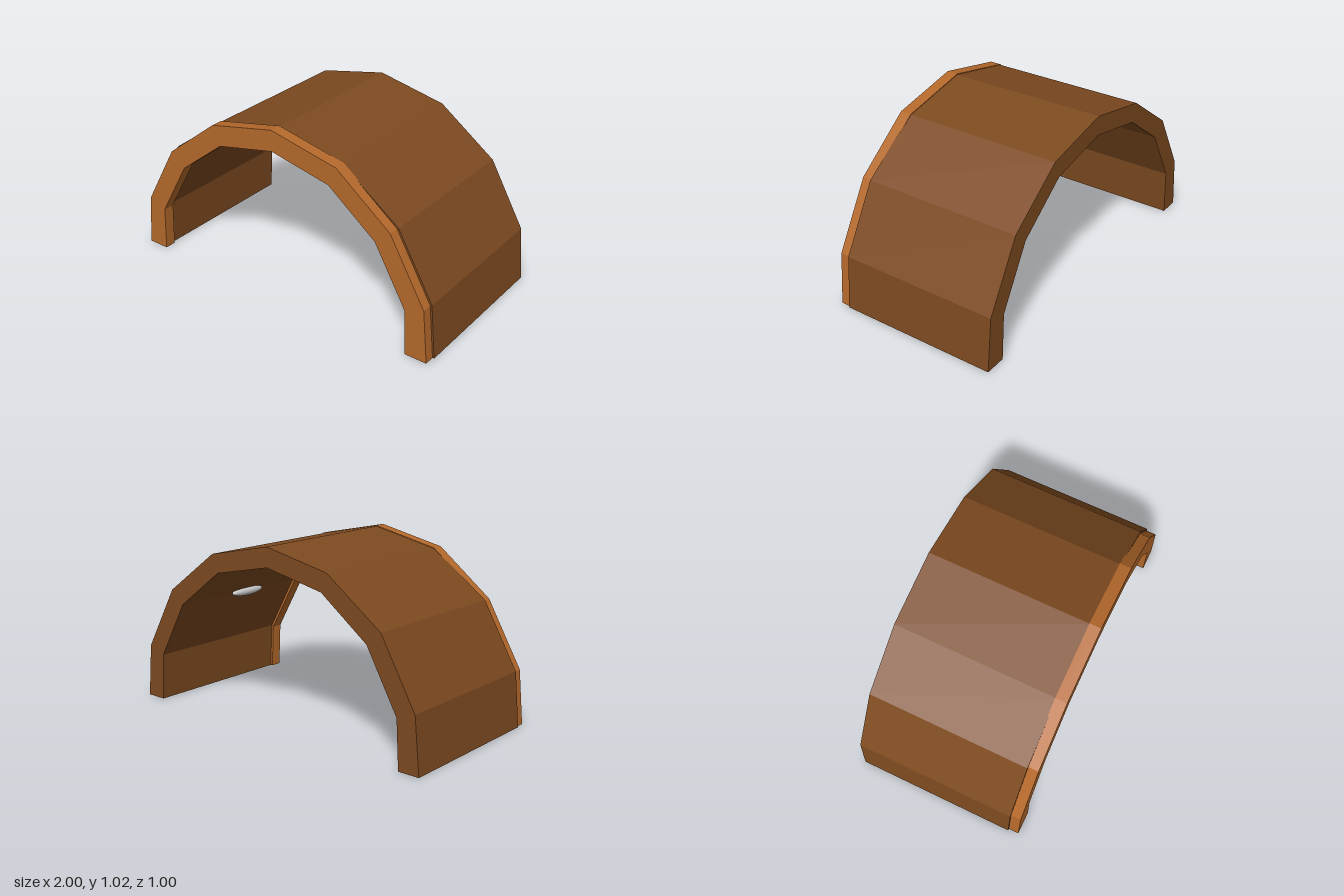
import * as THREE from 'three';

// Right half of each profile, from the foot up to the crown
const BODY_OUTER = [[1, 0], [0.97, 0.315], [0.757, 0.685], [0.413, 0.934], [0, 1.02]];
const BODY_INNER = [[0.875, 0], [0.86, 0.275], [0.67, 0.61], [0.375, 0.83], [0, 0.908]];
const RIM_OUTER = [[0.99, 0], [0.96, 0.31], [0.747, 0.68], [0.415, 0.937], [0, 1.025]];
const RIM_INNER = [[0.86, 0], [0.847, 0.268], [0.657, 0.6], [0.367, 0.825], [0, 0.903]];

// Complete a half profile from the right foot over the crown to the left foot
function fullArc(half) {
  const mirrored = half.slice(0, -1).reverse().map(([x, y]) => [-x, y]);
  return [...half, ...mirrored].map(([x, y]) => new THREE.Vector2(x, y));
}

// Faceted arch band between two profiles, extruded from zBack to zFront
function arch(name, outer, inner, zBack, zFront, color) {
  const shape = new THREE.Shape([...fullArc(outer), ...fullArc(inner).reverse()]);
  const geometry = new THREE.ExtrudeGeometry(shape, { depth: zFront - zBack, bevelEnabled: false });
  geometry.translate(0, 0, zBack);
  const mesh = new THREE.Mesh(geometry, new THREE.MeshStandardMaterial({ color, flatShading: true }));
  mesh.name = name;
  return mesh;
}

export function createModel() {
  const model = new THREE.Group();
  model.name = 'archedTunnel';

  // Long dark vault and the lighter trim at its front opening
  model.add(arch('vault', BODY_OUTER, BODY_INNER, -0.5, 0.44, 0x7d4a20));
  model.add(arch('frontRim', RIM_OUTER, RIM_INNER, 0.432, 0.5, 0xb5692b));

  // Slim lamps on the inner folds, one per side
  const lampGeometry = new THREE.SphereGeometry(1, 16, 12);
  lampGeometry.rotateX(Math.PI / 2);
  lampGeometry.scale(0.027, 0.027, 0.125);
  for (const side of [1, -1]) {
    const lamp = new THREE.Mesh(lampGeometry, new THREE.MeshStandardMaterial({ color: 0xcccccc }));
    lamp.name = side > 0 ? 'leftLamp' : 'rightLamp';
    lamp.position.set(side * 0.648, 0.612, 0);
    model.add(lamp);
  }
  return model;
}
